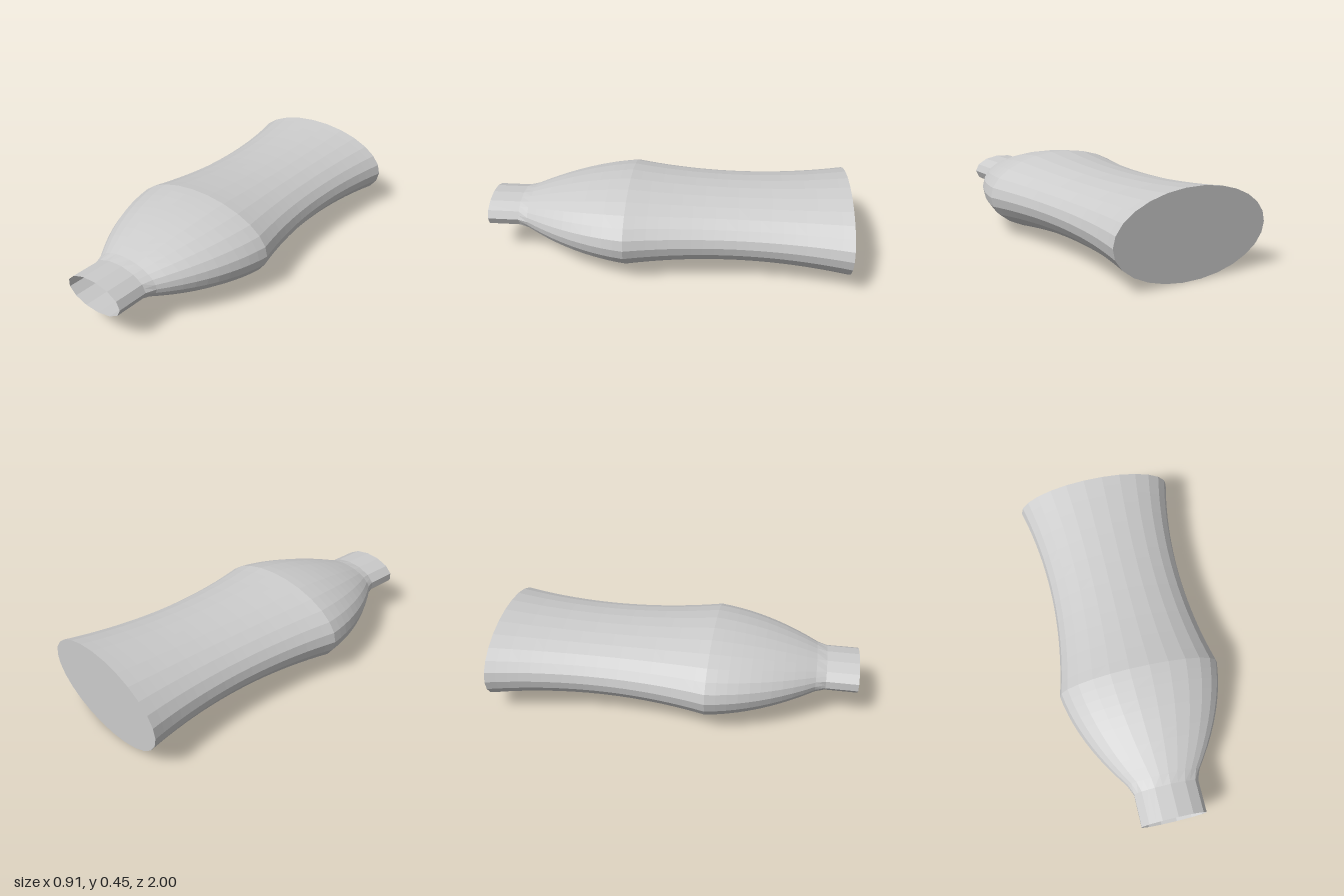
import * as THREE from 'three';

const SIDES = 26, MID_Y = 0.23, FLATTEN = 0.5, MAX_R = 0.455;

// Half-width of the shell along its length, from mouth (z = 1) to base (z = -1)
function radiusAt(z) {
  if (z >= 0.825) return 0.18;
  if (z >= 0.77) return 0.18 + (0.825 - z) / 0.055 * 0.021;
  if (z >= 0.2) {
    const t = z - 0.2;
    return MAX_R - 0.15 * t - 0.52 * t * t;
  }
  return 0.382 + 0.073 * ((z + 0.4) / 0.6) ** 2;
}

// Loft of elliptical rings between the given stations; a coarse ring has half the sides
function loft(stations, coarseFrom) {
  const pos = [], index = [];
  stations.forEach((z, i) => {
    const r = radiusAt(z);
    for (let j = 0; j < SIDES; j++) {
      const a = j / SIDES * Math.PI * 2;
      const k = z >= coarseFrom && j % 2 ? Math.cos(Math.PI * 2 / SIDES) : 1;
      pos.push(r * k * Math.cos(a), MID_Y + r * k * FLATTEN * Math.sin(a), z);
      if (i < stations.length - 1) {
        const p = i * SIDES + j, q = i * SIDES + (j + 1) % SIDES;
        index.push(p, p + SIDES, q, q, p + SIDES, q + SIDES);
      }
    }
  });
  const geo = new THREE.BufferGeometry();
  geo.setAttribute('position', new THREE.Float32BufferAttribute(pos, 3));
  geo.setIndex(index);
  geo.computeVertexNormals();
  return geo;
}

const range = (from, to, n) =>
  Array.from({ length: n + 1 }, (_, i) => from + (to - from) * i / n);

export function createModel() {
  const group = new THREE.Group();
  group.name = 'flatBottle';
  const material = new THREE.MeshStandardMaterial({
    color: 0xcccccc, flatShading: true, side: THREE.DoubleSide,
  });
  const add = (name, geo) => {
    const mesh = new THREE.Mesh(geo, material);
    mesh.name = name;
    group.add(mesh);
    return mesh;
  };

  // Open neck and its flare
  add('neck', loft([1, 0.825, 0.77], 0.8));
  // Rounded shoulder, swelling from the neck to the widest ring
  add('shoulder', loft(range(0.77, 0.2, 10), 2));
  // Waisted body
  add('body', loft(range(0.2, -1, 20), 2));
  // Flat base closing the back end
  const base = add('base', new THREE.CircleGeometry(MAX_R, SIDES));
  base.geometry.rotateY(Math.PI);
  base.scale.y = FLATTEN;
  base.position.set(0, MID_Y, -1);

  return group;
}
